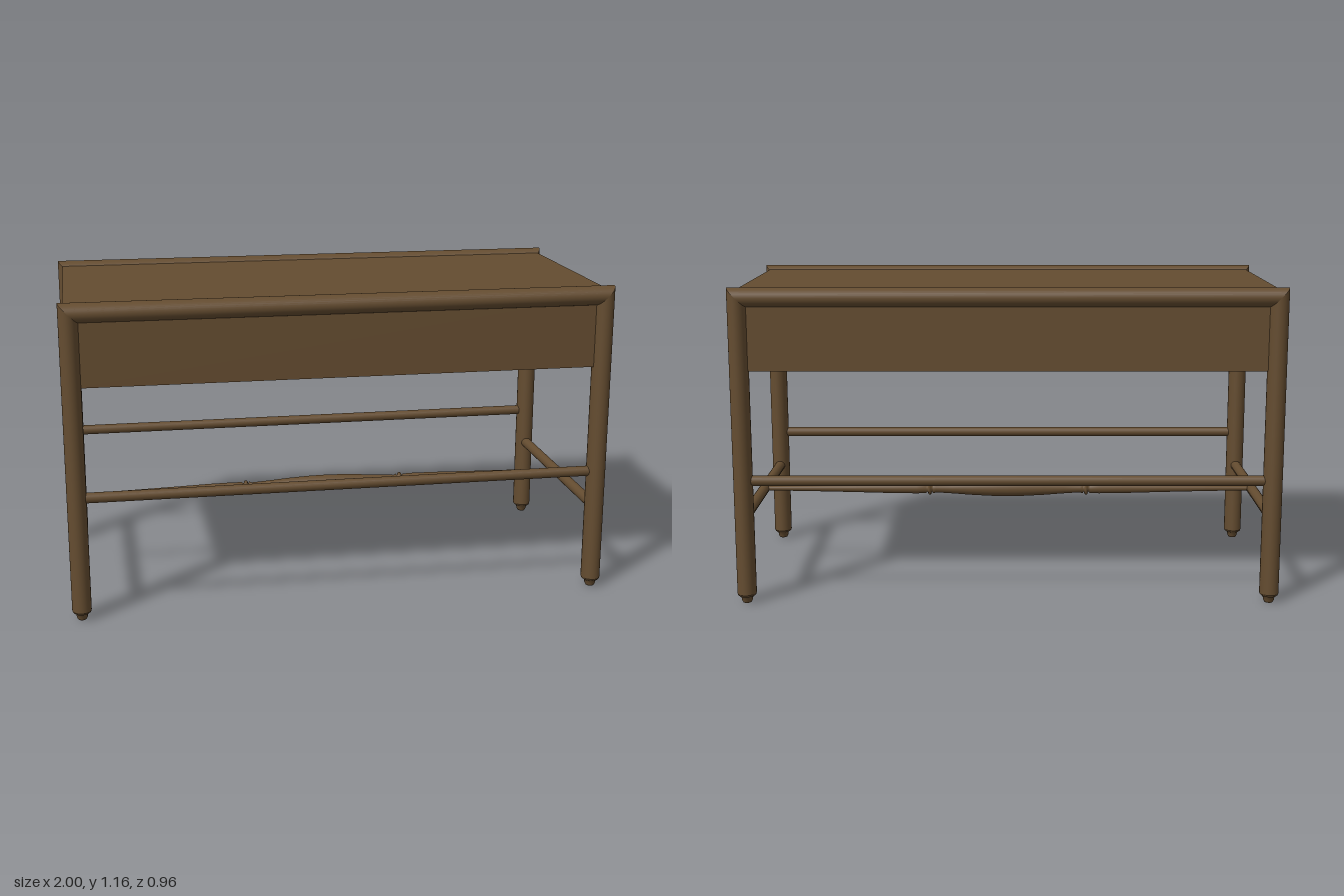
import * as THREE from 'three';

const LEG_X = 0.965, LEG_Z = 0.44, RAIL_Y = 1.13;
const RX = 0.035, RZ = 0.041, LEG_BASE = 0.035;

export function createModel() {
  const group = new THREE.Group();
  const wood = new THREE.MeshStandardMaterial({ color: 0x644c30 });
  wood.name = 'brown wood';

  const add = (name, geometry, x, y, z) => {
    const mesh = new THREE.Mesh(geometry, wood);
    mesh.name = name;
    mesh.position.set(x, y, z);
    group.add(mesh);
    return mesh;
  };

  // Oval ring: u points away from the frame's inside, v runs along z
  const SIDES = 32;
  const ring = (place) => Array.from({ length: SIDES }, (_, i) => {
    const a = (i / SIDES) * Math.PI * 2;
    return [...place(Math.cos(a) * RX), Math.sin(a) * RZ];
  });
  const loft = (a, b) => {
    const g = new THREE.BufferGeometry();
    g.setAttribute('position', new THREE.Float32BufferAttribute([...a, ...b].flat(), 3));
    const index = [];
    for (let i = 0; i < SIDES; i++) {
      const j = (i + 1) % SIDES;
      index.push(i, j, i + SIDES, j, j + SIDES, i + SIDES);
    }
    g.setIndex(index);
    g.computeVertexNormals();
    return g;
  };

  // Leg, top rail and leg share one oval section, mitred at the corners
  const rings = [
    ring((u) => [-LEG_X - u, LEG_BASE]),
    ring((u) => [-LEG_X - u, RAIL_Y + u]),
    ring((u) => [LEG_X + u, RAIL_Y + u]),
    ring((u) => [LEG_X + u, LEG_BASE]),
  ];
  const footProfile = [
    [0, 0], [0.018, 0], [0.023, 0.008], [0.026, 0.024], [0.034, 0.026], [0.039, 0.03], [RZ, LEG_BASE],
  ].map(([r, y]) => new THREE.Vector2(r, y));

  for (const [side, s] of [['front', 1], ['back', -1]]) {
    ['RightLeg', 'TopRail', 'LeftLeg'].forEach((part, i) =>
      add(side + part, loft(rings[i], rings[i + 1]), 0, 0, s * LEG_Z));
    for (const x of [-LEG_X, LEG_X]) {
      add(side + 'Foot', new THREE.LatheGeometry(footProfile, SIDES), x, 0, s * LEG_Z).scale.x = RX / RZ;
    }
    // Long stretcher and apron
    add(side + 'Stretcher', new THREE.CylinderGeometry(0.019, 0.019, 1.88, 20), 0, 0.46, s * LEG_Z)
      .rotation.z = Math.PI / 2;
    add(side + 'Apron', new THREE.BoxGeometry(1.94, 0.27, 0.012), 0, 1.0, s * 0.445);
  }

  // End aprons and short stretchers
  for (const [side, s] of [['left', 1], ['right', -1]]) {
    add(side + 'Apron', new THREE.BoxGeometry(0.012, 0.283, 0.88), s * 0.976, 1.0065, 0);
    add(side + 'Stretcher', new THREE.CylinderGeometry(0.02, 0.02, 0.83, 20), s * LEG_X, 0.32, 0)
      .rotation.x = Math.PI / 2;
  }

  add('tableTop', new THREE.BoxGeometry(1.964, 0.016, 0.88), 0, 1.141, 0);

  // Turned spindle joining the short stretchers
  const half = [
    [0, 0.031], [0.06, 0.03], [0.14, 0.026], [0.22, 0.02], [0.285, 0.016], [0.295, 0.02], [0.3, 0.013],
    [0.305, 0.025], [0.313, 0.025], [0.318, 0.013], [0.325, 0.019], [0.36, 0.02], [0.45, 0.019],
    [0.6, 0.015], [0.78, 0.011], [0.96, 0.008],
  ];
  const spindle = [...half.slice(1).reverse().map(([d, r]) => [-d, r]), ...half]
    .map(([d, r]) => new THREE.Vector2(r, d));
  add('turnedSpindle', new THREE.LatheGeometry(spindle, 24), 0, 0.322, 0).rotation.z = Math.PI / 2;

  return group;
}
